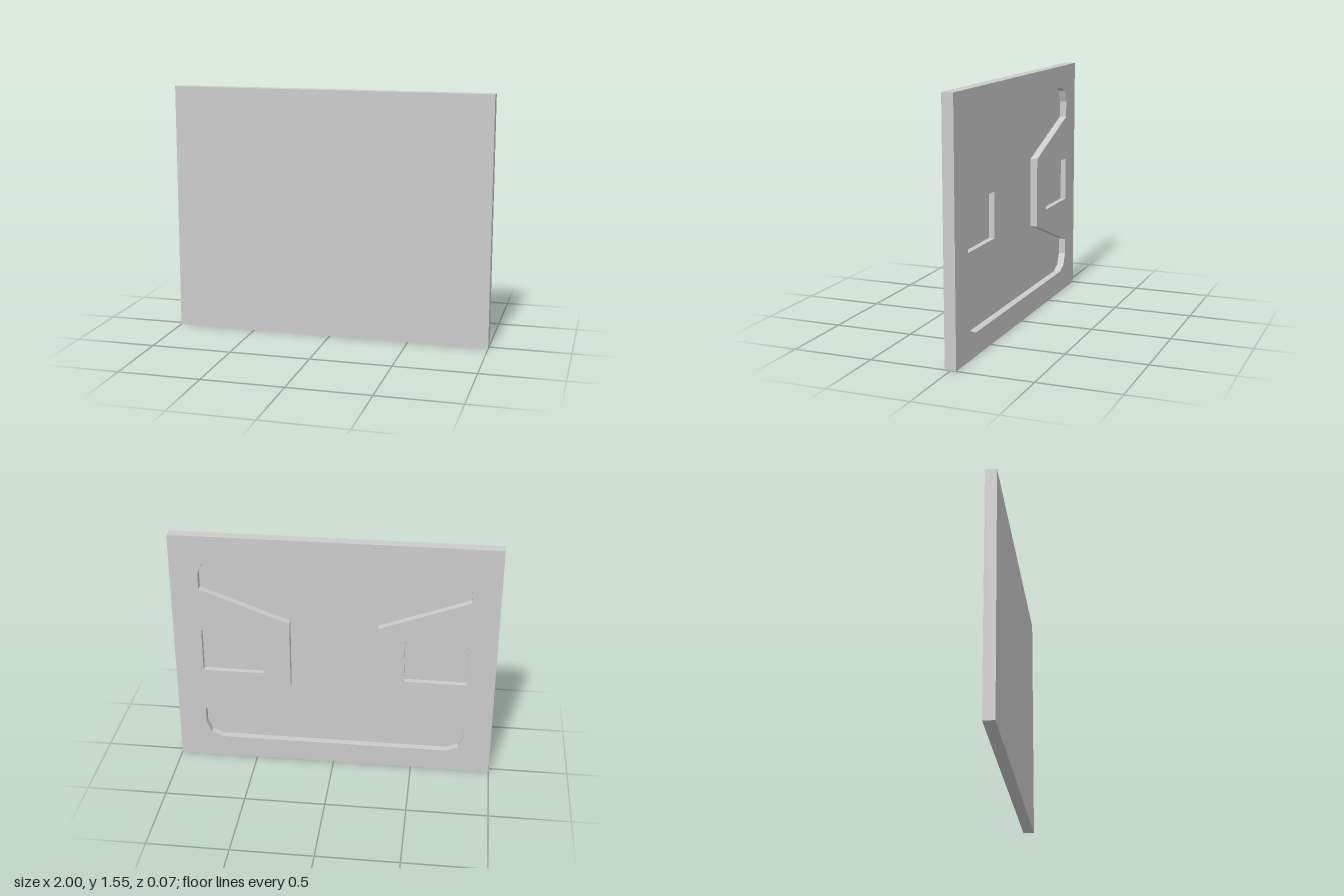
import * as THREE from 'three';

const FRONT = 0.035, BACK = -0.035, HEIGHT = 1.55;

const toVectors = (pts) => pts.map(([x, y]) => new THREE.Vector2(x, y));

// Flat sheet at depth z, facing the front or the back
function sheet(outline, z, facesBack, holes = []) {
  const shape = new THREE.Shape(toVectors(outline));
  shape.holes = holes.map((h) => new THREE.Path(toVectors(h)));
  const geo = new THREE.ShapeGeometry(shape);
  if (facesBack) {
    geo.setIndex(Array.from(geo.index.array).reverse());
    geo.computeVertexNormals();
  }
  return geo.translate(0, 0, z);
}

// Wall strip round a counter-clockwise outline; z0 < z1 faces out, z0 > z1 faces in
function wall(outline, z0, z1) {
  const pos = [];
  outline.forEach(([ax, ay], i) => {
    const [bx, by] = outline[(i + 1) % outline.length];
    pos.push(ax, ay, z0, bx, by, z0, bx, by, z1, ax, ay, z0, bx, by, z1, ax, ay, z1);
  });
  const geo = new THREE.BufferGeometry();
  geo.setAttribute('position', new THREE.Float32BufferAttribute(pos, 3));
  geo.computeVertexNormals();
  return geo;
}

const rect = (x0, x1, y0, y1) => [[x0, y0], [x1, y0], [x1, y1], [x0, y1]];

// Large recess: two-facet rounded corners and a tapered notch on each side
function recessOutline() {
  const w = 0.827, y0 = 0.142, r = 0.105, k = r * (1 - Math.SQRT1_2);
  const lowerRight = [
    [w - r, y0], [w - k, y0 + k], [w, y0 + r], [w, 0.35], [0.272, 0.555],
  ];
  const flipY = ([x, y]) => [x, HEIGHT - y];
  const rightSide = [...lowerRight, ...lowerRight.map(flipY).reverse()];
  const leftSide = rightSide.map(([x, y]) => [-x, y]).reverse();
  return [...rightSide, ...leftSide];
}

export function createModel() {
  const group = new THREE.Group();
  const material = new THREE.MeshStandardMaterial({ color: 0xcccccc, flatShading: true });
  const add = (name, geo) => {
    const mesh = new THREE.Mesh(geo, material);
    mesh.name = name;
    group.add(mesh);
  };

  const panel = rect(-1, 1, 0, HEIGHT);
  const cavities = [
    { name: 'mainRecess', outline: recessOutline(), depth: 0.045 },
    { name: 'leftPocket', outline: rect(0.438, 0.825, 0.635, 0.915), depth: 0.035 },
    { name: 'rightPocket', outline: rect(-0.825, -0.438, 0.635, 0.915), depth: 0.035 },
  ];

  // Panel shell
  add('frontFace', sheet(panel, FRONT, false));
  add('panelEdges', wall(panel, BACK, FRONT));
  add('backFace', sheet(panel, BACK, true, cavities.map((c) => c.outline)));

  // Cavities sunk into the back
  for (const { name, outline, depth } of cavities) {
    add(name + 'Walls', wall(outline, BACK + depth, BACK));
    add(name + 'Floor', sheet(outline, BACK + depth, true));
  }
  return group;
}
